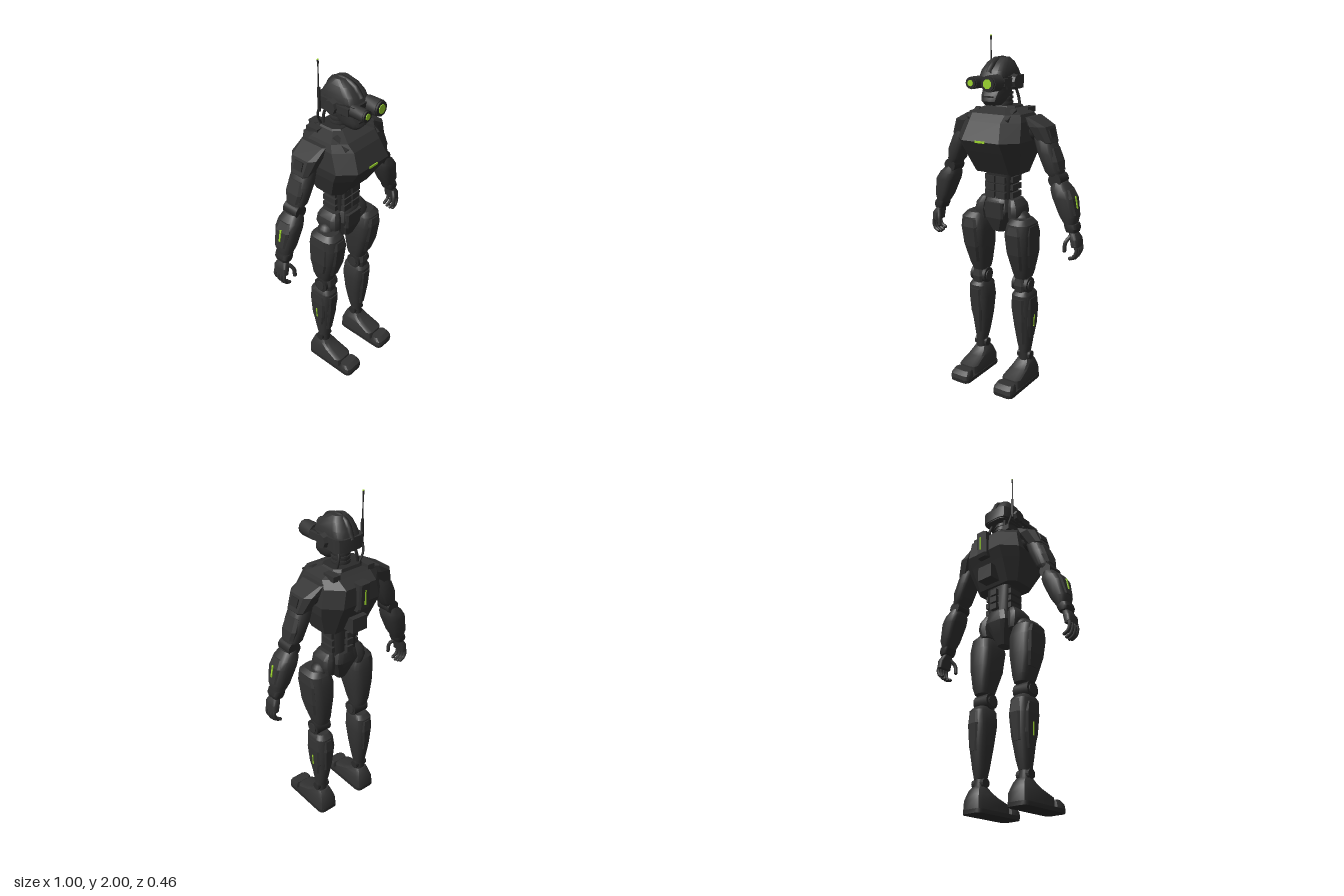
import * as THREE from 'three';
import { toCreasedNormals } from 'three/addons/utils/BufferGeometryUtils.js';

const mat = (name, color) => Object.assign(new THREE.MeshStandardMaterial({ color }), { name });
const armor = mat('armor', 0x323232);
const frame = mat('frame', 0x2a2a2a);
const glow = mat('glow', 0x9ad42c);

// Lofted shell: each section is [y, x0, x1, z0, z1, cornerSize]
function loft(sections, steps = 3, crease = 0.55) {
  const rings = sections.map(([y, x0, x1, z0, z1, c]) => {
    const r = Math.min(c, (x1 - x0) * 0.49, (z1 - z0) * 0.49), ring = [];
    [[x1 - r, z1 - r], [x0 + r, z1 - r], [x0 + r, z0 + r], [x1 - r, z0 + r]].forEach(([cx, cz], q) => {
      for (let k = 0; k <= steps; k++) {
        const a = (q + k / steps) * Math.PI / 2;
        ring.push([cx + r * Math.cos(a), y, cz + r * Math.sin(a)]);
      }
    });
    return ring;
  });
  const pos = [], n = rings[0].length;
  const mid = (s) => [(s[1] + s[2]) / 2, s[0], (s[3] + s[4]) / 2];
  const last = rings.length - 1, bottom = mid(sections[0]), top = mid(sections[last]);
  for (let i = 0; i < n; i++) {
    const j = (i + 1) % n;
    for (let k = 0; k < last; k++) {
      const a = rings[k], b = rings[k + 1];
      pos.push(...a[i], ...b[i], ...a[j], ...a[j], ...b[i], ...b[j]);
    }
    pos.push(...bottom, ...rings[0][i], ...rings[0][j], ...top, ...rings[last][j], ...rings[last][i]);
  }
  const g = new THREE.BufferGeometry();
  g.setAttribute('position', new THREE.Float32BufferAttribute(pos, 3));
  g.computeVertexNormals();
  return crease ? toCreasedNormals(g, crease) : g;
}

export function createModel() {
  const model = new THREE.Group();
  model.name = 'robot';
  const add = (name, geo, m = armor, x = 0, y = 0, z = 0, rx = 0, ry = 0, rz = 0) => {
    const mesh = new THREE.Mesh(geo, m);
    mesh.name = name;
    mesh.position.set(x, y, z);
    mesh.rotation.set(rx, ry, rz);
    model.add(mesh);
    return mesh;
  };
  const box = (w, h, d) => new THREE.BoxGeometry(w, h, d);
  const cyl = (r1, r2, h, n = 16) => toCreasedNormals(new THREE.CylinderGeometry(r1, r2, h, n), 0.6);
  const tube = (pts, r, n = 8) => new THREE.TubeGeometry(
    new THREE.CatmullRomCurve3(pts.map((p) => new THREE.Vector3(...p))), 10, r, n);
  // Symmetric shell: sections are [y, halfWidth, z0, z1, corner]
  const sym = (s, steps, crease) => loft(s.map(([y, w, ...r]) => [y, -w, w, ...r]), steps, crease);

  // Torso
  add('chest', sym([[1.27, 0.145, -0.11, 0.08, 0.04], [1.4, 0.188, -0.17, 0.165, 0.07],
    [1.46, 0.2, -0.2, 0.203, 0.08], [1.56, 0.18, -0.195, 0.157, 0.08],
    [1.6, 0.165, -0.14, 0.12, 0.06], [1.632, 0.08, -0.1, 0.03, 0.03]], 1, 0));
  add('chestLight', box(0.062, 0.011, 0.006), glow, 0, 1.46, 0.204);
  add('collar', sym([[1.58, 0.13, -0.13, 0.08, 0.04], [1.635, 0.09, -0.11, 0.03, 0.03]], 1, 0), frame);
  add('backPack', sym([[1.42, 0.036, -0.215, -0.17, 0.01], [1.44, 0.036, -0.225, -0.17, 0.01],
    [1.58, 0.036, -0.23, -0.17, 0.01]], 1, 0));
  add('backLight', box(0.008, 0.085, 0.005), glow, 0, 1.505, -0.2285);
  add('lowerBackBox', box(0.1, 0.085, 0.08), armor, 0, 1.33, -0.15);
  add('abdomenCore', sym([[1.08, 0.075, -0.09, 0.045, 0.04], [1.28, 0.085, -0.095, 0.05, 0.04]]), frame);
  for (let i = 0; i < 3; i++) {
    const y = 1.125 + i * 0.045;
    for (const s of [-1, 1]) {
      add('abdomenPlate', box(0.06, 0.036, 0.03), armor, s * 0.034, y + 0.015, 0.045);
      add('sideRib', box(0.03, 0.032, 0.09), armor, s * 0.08, y + 0.015, -0.025);
    }
    add('spineBlock', box(0.045, 0.034, 0.03), armor, 0, y + 0.015, -0.1);
  }

  // Pelvis
  add('pelvis', sym([[0.92, 0.03, -0.055, 0.03, 0.02], [0.98, 0.052, -0.08, 0.06, 0.03],
    [1.05, 0.085, -0.105, 0.075, 0.04], [1.11, 0.072, -0.1, 0.065, 0.04], [1.13, 0.06, -0.085, 0.05, 0.03]], 2));
  add('frontPelvisPlate', sym([[0.93, 0.028, 0.01, 0.05, 0.01], [1.01, 0.06, 0.02, 0.078, 0.01],
    [1.1, 0.06, 0.02, 0.082, 0.01]], 1, 0));

  // Neck and head
  add('neck', cyl(0.045, 0.052, 0.14), frame, 0, 1.67, -0.03);
  for (const y of [1.65, 1.675, 1.7]) add('neckRing', cyl(0.053, 0.053, 0.01), armor, 0, y, -0.03);
  add('helmet', sym([[1.72, 0.072, -0.118, 0.085, 0.04], [1.79, 0.078, -0.116, 0.122, 0.05],
    [1.825, 0.074, -0.1, 0.108, 0.05], [1.865, 0.06, -0.075, 0.065, 0.04], [1.89, 0.04, -0.05, 0.02, 0.03]]));
  add('crest', tube([[0, 1.81, 0.115], [0, 1.86, 0.07], [0, 1.88, -0.02], [0, 1.855, -0.08], [0, 1.78, -0.115]], 0.016), frame);
  add('helmetBand', sym([[1.725, 0.088, -0.123, 0.06, 0.04], [1.795, 0.09, -0.123, 0.09, 0.04]], 2));
  add('jaw', sym([[1.643, 0.036, 0.03, 0.11, 0.02], [1.665, 0.05, 0.0, 0.13, 0.03],
    [1.69, 0.056, -0.02, 0.125, 0.03], [1.74, 0.062, -0.04, 0.095, 0.03]], 2));
  add('mouthSlot', box(0.07, 0.008, 0.02), frame, 0, 1.69, 0.12);
  add('visorBridge', box(0.15, 0.055, 0.06), frame, 0, 1.765, 0.105);
  for (const [x, r, z, lr] of [[0.052, 0.044, 0.203, 0.026], [-0.055, 0.033, 0.203, 0.017]]) {
    add('gogglesBarrel', cyl(r, r, 0.085, 12), armor, x, 1.765, 0.15, Math.PI / 2);
    add('gogglesRim', cyl(r * 0.92, r * 0.92, 0.02, 12), frame, x, 1.765, z - 0.01, Math.PI / 2);
    add('lens', cyl(lr, lr, 0.005, 8), glow, x, 1.765, z + 0.001, Math.PI / 2, Math.PI / 8);
  }
  for (const s of [-1, 1]) {
    add('earPod', cyl(0.036, 0.042, 0.03, 8), armor, s * 0.095, 1.765, 0.0, 0, 0, -s * Math.PI / 2);
    add('gogglesStrap', box(0.018, 0.04, 0.1), armor, s * 0.086, 1.765, 0.06);
    add('neckCable', tube([[s * 0.05, 1.73, -0.07], [s * 0.06, 1.68, -0.085], [s * 0.075, 1.61, -0.08]], 0.008), frame);
  }

  // Antenna
  add('antennaBase', cyl(0.008, 0.009, 0.13, 8), frame, -0.108, 1.785, -0.07);
  add('antennaRod', cyl(0.003, 0.004, 0.16, 6), frame, -0.11, 1.91, -0.07);
  add('antennaCap', cyl(0.005, 0.005, 0.02, 6), frame, -0.11, 1.986, -0.07);
  add('antennaTip', cyl(0.005, 0.005, 0.004, 6), glow, -0.11, 1.998, -0.07);
  add('antennaCable', tube([[-0.108, 1.74, -0.072], [-0.1, 1.68, -0.09], [-0.065, 1.61, -0.085]], 0.006), frame);

  for (const s of [1, -1]) {
    // Mirrored shell written for the left side
    const side = (name, sections, m, steps, crease) => add(name, loft(sections.map(([y, a, b, ...r]) =>
      (s > 0 ? [y, a, b, ...r] : [y, -b, -a, ...r])), steps, crease), m);
    const pipe = (name, pts, r, m) => add(name, tube(pts.map(([x, y, z]) => [s * x, y, z]), r), m);
    const ball = (name, r, x, y, z, m = frame) => add(name, new THREE.SphereGeometry(r, 14, 10), m, s * x, y, z);
    const hinge = (name, r, h, x, y, z, m = frame) => add(name, cyl(r, r, h), m, s * x, y, z, 0, 0, Math.PI / 2);

    // Shoulder straps
    add('strap', box(0.045, 0.03, 0.08), armor, s * 0.115, 1.61, -0.1);
    add('frontStrap', box(0.03, 0.02, 0.1), armor, s * 0.115, 1.592, 0.085, 0.5);

    // Shoulder and upper arm
    ball('shoulderJoint', 0.055, 0.21, 1.51, -0.035);
    side('shoulderPad', [[1.44, 0.285, 0.315, -0.085, 0.02, 0.02], [1.458, 0.235, 0.322, -0.095, 0.027, 0.02],
      [1.54, 0.18, 0.292, -0.12, 0.048, 0.03], [1.585, 0.175, 0.2, -0.118, 0.045, 0.02]], armor, 1, 0);
    add('shoulderPatch', box(0.006, 0.048, 0.058), frame, s * 0.308, 1.505, -0.034, 0, 0, s * 0.35);
    side('upperArm', [[1.27, 0.31, 0.37, -0.075, 0.01, 0.03], [1.3, 0.285, 0.37, -0.092, 0.025, 0.035],
      [1.4, 0.24, 0.342, -0.1, 0.035, 0.04], [1.47, 0.215, 0.315, -0.095, 0.03, 0.04],
      [1.52, 0.2, 0.28, -0.08, 0.015, 0.04]]);
    side('upperArmPlate', [[1.31, 0.32, 0.373, -0.08, 0.01, 0.015], [1.36, 0.3, 0.362, -0.09, 0.02, 0.015],
      [1.43, 0.27, 0.334, -0.085, 0.015, 0.015]], armor, 1, 0);

    // Elbow and forearm
    const elbow = add('elbow', cyl(0.038, 0.038, 0.09), frame, s * 0.35, 1.26, -0.033, Math.PI / 2);
    elbow.scale.y = 1.05;
    side('forearm', [[1.02, 0.405, 0.465, -0.075, 0.01, 0.03], [1.07, 0.375, 0.473, -0.09, 0.022, 0.035],
      [1.17, 0.332, 0.452, -0.102, 0.032, 0.04], [1.21, 0.32, 0.43, -0.1, 0.03, 0.04],
      [1.25, 0.322, 0.395, -0.085, 0.015, 0.035]]);
    side('forearmPlate', [[1.08, 0.42, 0.476, -0.068, 0.005, 0.012], [1.17, 0.4, 0.458, -0.08, 0.016, 0.012],
      [1.215, 0.38, 0.432, -0.07, 0.006, 0.012]], armor, 1, 0);
    add('forearmLight', box(0.006, 0.068, 0.01), glow, s * 0.464, 1.148, -0.031, 0, 0, s * 0.2);
    side('wristCuff', [[0.985, 0.42, 0.478, -0.07, 0.01, 0.02], [1.005, 0.412, 0.482, -0.075, 0.014, 0.02],
      [1.03, 0.405, 0.474, -0.075, 0.012, 0.02]], frame);

    // Hand
    side('palm', [[0.905, 0.458, 0.495, -0.072, 0.014, 0.012], [0.95, 0.448, 0.492, -0.072, 0.016, 0.014],
      [0.99, 0.432, 0.47, -0.055, 0.0, 0.014]]);
    for (let i = 0; i < 4; i++) {
      const z = 0.004 - i * 0.022, d = [0.006, 0, 0.004, 0.014][i];
      pipe('finger', [[0.48, 0.92, z], [0.489, 0.88 + d, z], [0.477, 0.845 + d, z], [0.452, 0.832 + d, z]], 0.01, armor);
      ball('knuckle', 0.012, 0.481, 0.912, z);
      ball('fingerTip', 0.01, 0.452, 0.832 + d, z);
    }
    pipe('thumb', [[0.45, 0.965, 0.0], [0.432, 0.93, 0.022], [0.428, 0.885, 0.025]], 0.011, armor);
    ball('thumbTip', 0.011, 0.428, 0.885, 0.025);

    // Hip and thigh
    side('hipPod', [[0.99, 0.075, 0.13, -0.085, 0.055, 0.03], [1.04, 0.075, 0.148, -0.095, 0.065, 0.035],
      [1.085, 0.07, 0.142, -0.09, 0.06, 0.035], [1.12, 0.07, 0.115, -0.07, 0.04, 0.02]], armor, 2);
    ball('hipJoint', 0.055, 0.135, 1.0, -0.01);
    side('thigh', [[0.66, 0.102, 0.188, -0.075, 0.035, 0.035], [0.7, 0.094, 0.2, -0.085, 0.05, 0.04],
      [0.82, 0.076, 0.22, -0.092, 0.09, 0.05], [0.93, 0.072, 0.225, -0.088, 0.108, 0.05],
      [0.995, 0.085, 0.222, -0.075, 0.1, 0.05], [1.022, 0.1, 0.2, -0.05, 0.075, 0.04]]);
    side('thighSidePlate', [[0.74, 0.17, 0.212, -0.06, 0.035, 0.012], [0.82, 0.17, 0.225, -0.068, 0.06, 0.012],
      [0.94, 0.17, 0.229, -0.065, 0.072, 0.012], [0.985, 0.17, 0.226, -0.05, 0.06, 0.012]], armor, 1, 0);
    side('thighFrontPlate', [[0.72, 0.115, 0.18, 0.0, 0.064, 0.012], [0.82, 0.1, 0.192, 0.0, 0.096, 0.012],
      [0.94, 0.1, 0.195, 0.0, 0.114, 0.012], [0.985, 0.11, 0.185, 0.0, 0.106, 0.012]], armor, 1, 0);

    // Knee and lower leg
    hinge('kneeJoint', 0.046, 0.1, 0.145, 0.62, -0.012);
    hinge('kneeCap', 0.03, 0.112, 0.145, 0.62, -0.012, armor);
    side('kneeGuard', [[0.58, 0.115, 0.175, -0.02, 0.04, 0.012], [0.62, 0.11, 0.18, -0.02, 0.045, 0.012],
      [0.66, 0.118, 0.172, -0.02, 0.038, 0.012]], armor, 1, 0);
    side('calf', [[0.185, 0.125, 0.185, -0.068, 0.008, 0.03], [0.24, 0.113, 0.192, -0.08, 0.016, 0.035],
      [0.36, 0.095, 0.204, -0.1, 0.034, 0.045], [0.48, 0.086, 0.21, -0.108, 0.05, 0.045],
      [0.56, 0.095, 0.205, -0.1, 0.052, 0.04], [0.585, 0.108, 0.19, -0.075, 0.035, 0.03]]);
    side('calfSidePlate', [[0.29, 0.16, 0.201, -0.065, 0.0, 0.012], [0.37, 0.16, 0.21, -0.08, 0.018, 0.012],
      [0.48, 0.16, 0.215, -0.085, 0.028, 0.012], [0.54, 0.16, 0.21, -0.07, 0.02, 0.012]], armor, 1, 0);
    add('calfLight', box(0.006, 0.072, 0.007), glow, s * 0.212, 0.395, -0.031, 0, 0, -s * 0.045);
    side('shinPlate', [[0.25, 0.13, 0.176, -0.02, 0.024, 0.01], [0.4, 0.115, 0.186, -0.02, 0.046, 0.012],
      [0.54, 0.112, 0.188, -0.02, 0.058, 0.012]], armor, 1, 0);
    side('calfBackPlate', [[0.33, 0.125, 0.178, -0.1, -0.04, 0.012], [0.48, 0.112, 0.185, -0.114, -0.04, 0.012],
      [0.55, 0.12, 0.178, -0.106, -0.04, 0.012]], armor, 1, 0);

    // Ankle and foot
    hinge('anklePin', 0.026, 0.084, 0.155, 0.165, -0.032);
    side('ankle', [[0.12, 0.122, 0.19, -0.07, 0.01, 0.03], [0.195, 0.126, 0.184, -0.062, 0.005, 0.028]], frame);
    side('sole', [[0, 0.087, 0.218, -0.112, 0.228, 0.03], [0.022, 0.087, 0.218, -0.112, 0.23, 0.03]], frame);
    side('toeCap', [[0.02, 0.088, 0.217, 0.148, 0.23, 0.025], [0.045, 0.09, 0.215, 0.148, 0.226, 0.025],
      [0.065, 0.1, 0.206, 0.148, 0.2, 0.02]], armor, 2);
    side('footShell', [[0.02, 0.09, 0.216, -0.112, 0.144, 0.03], [0.07, 0.092, 0.214, -0.11, 0.142, 0.03],
      [0.1, 0.1, 0.207, -0.1, 0.06, 0.03], [0.125, 0.108, 0.2, -0.09, 0.02, 0.03],
      [0.143, 0.116, 0.194, -0.075, 0.005, 0.03]], armor, 2);
  }
  return model;
}
